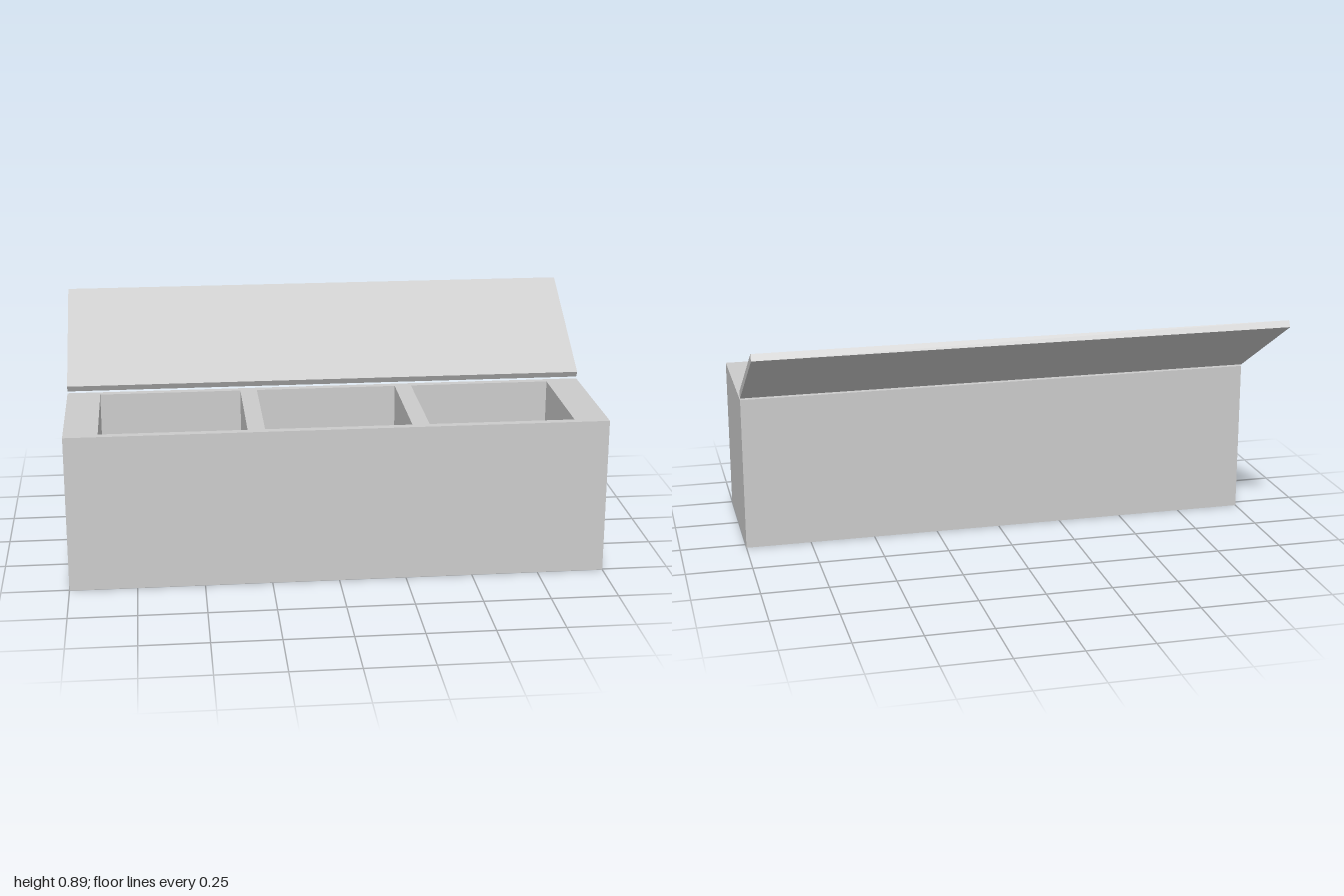
import * as THREE from 'three';

const WIDTH = 2, HEIGHT = 0.593, DEPTH = 0.54;
const FLOOR = 0.03;          // thickness of the base slab
const BOX_Z = 0.235;         // centre of the box in depth
const BIN_W = 0.54, BIN_D = 0.48, BIN_PITCH = 0.604;
const LID_T = 0.027, LID_TILT = Math.PI / 6;

// Traces a centred rectangle onto a Shape or Path
function rect(path, cx, w, d) {
  path.moveTo(cx - w / 2, -d / 2);
  path.lineTo(cx + w / 2, -d / 2);
  path.lineTo(cx + w / 2, d / 2);
  path.lineTo(cx - w / 2, d / 2);
  path.closePath();
  return path;
}

export function createModel() {
  const model = new THREE.Group();
  model.name = 'compartmentBox';
  const material = new THREE.MeshStandardMaterial({ color: 0xcccccc });

  const add = (name, geometry) => {
    const mesh = new THREE.Mesh(geometry, material);
    mesh.name = name;
    model.add(mesh);
    return mesh;
  };

  // Base slab, which is also the floor of the compartments
  add('base', new THREE.BoxGeometry(WIDTH, FLOOR, DEPTH)).position.set(0, FLOOR / 2, BOX_Z);

  // Outer walls and dividers: one block with three compartments cut through
  const outline = rect(new THREE.Shape(), 0, WIDTH, DEPTH);
  for (const i of [-1, 0, 1]) outline.holes.push(rect(new THREE.Path(), i * BIN_PITCH, BIN_W, BIN_D));
  const wallGeometry = new THREE.ExtrudeGeometry(outline, { depth: HEIGHT - FLOOR, bevelEnabled: false });
  wallGeometry.rotateX(-Math.PI / 2);
  add('walls', wallGeometry).position.set(0, FLOOR, BOX_Z);

  // Lid swung open behind the box, pivoting on its lower front edge
  const lidGeometry = new THREE.BoxGeometry(WIDTH, LID_T, DEPTH);
  lidGeometry.translate(0, LID_T / 2, -DEPTH / 2);
  const lid = add('lid', lidGeometry);
  lid.position.set(0, 0.6, -0.036);
  lid.rotation.x = LID_TILT;

  return model;
}
